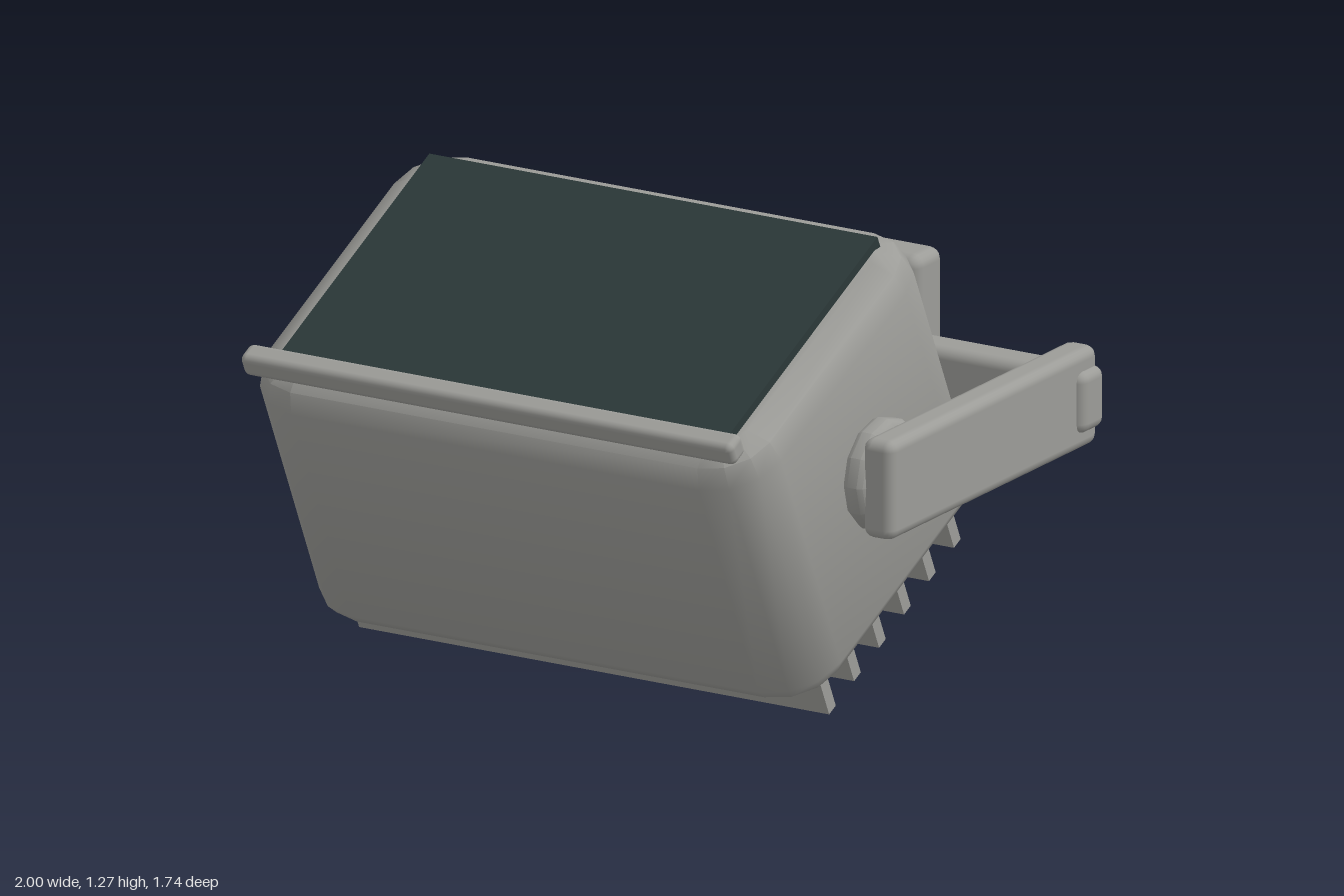
import * as THREE from 'three';
import { RoundedBoxGeometry } from 'three/addons/geometries/RoundedBoxGeometry.js';
import { toCreasedNormals } from 'three/addons/utils/BufferGeometryUtils.js';

const metal = new THREE.MeshStandardMaterial({ color: 0x9c9c98 });
metal.name = 'grey metal';
const glass = new THREE.MeshStandardMaterial({ color: 0x2b3838 });
glass.name = 'dark glass';

function add(parent, name, geometry, material, x = 0, y = 0, z = 0) {
  const mesh = new THREE.Mesh(geometry, material);
  mesh.name = name;
  mesh.position.set(x, y, z);
  parent.add(mesh);
  return mesh;
}

// Rounded rectangle in the xz plane, counterclockwise seen from above
function roundedRing(halfX, halfZ, r, y, segments = 3) {
  const points = [];
  const corners = [[1, -1], [-1, -1], [-1, 1], [1, 1]];
  corners.forEach(([sx, sz], c) => {
    for (let i = 0; i <= segments; i++) {
      const a = (c + i / segments) * Math.PI / 2;
      points.push([sx * (halfX - r) + r * Math.cos(a), y, sz * (halfZ - r) - r * Math.sin(a)]);
    }
  });
  return points;
}

// Closed solid through rings stacked from bottom to top
function loft(rings) {
  const n = rings[0].length;
  const index = [];
  const last = (rings.length - 1) * n;
  for (let k = 0; k < rings.length - 1; k++) {
    for (let i = 0; i < n; i++) {
      const a = k * n + i, b = k * n + (i + 1) % n;
      index.push(a, b, b + n, a, b + n, a + n);
    }
  }
  for (let i = 1; i < n - 1; i++) {
    index.push(0, i + 1, i);
    index.push(last, last + i, last + i + 1);
  }
  const g = new THREE.BufferGeometry();
  g.setAttribute('position', new THREE.Float32BufferAttribute(rings.flat(2), 3));
  g.setIndex(index);
  return toCreasedNormals(g, 0.75);
}

export function createModel() {
  const model = new THREE.Group();
  model.name = 'floodlight';

  // Lamp head, tilted forward
  const head = new THREE.Group();
  head.name = 'lampHead';
  head.rotation.x = THREE.MathUtils.degToRad(25);
  model.add(head);

  // Housing: [height, inset] of each ring
  const profile = [[0.27, 0.05], [0.28, 0.02], [0.315, 0], [1.04, 0], [1.1, 0.022], [1.133, 0.085]];
  const rings = profile.map(([y, inset]) => roundedRing(0.82 - inset, 0.525 - inset, 0.17 - inset, y));
  add(head, 'housing', loft(rings), metal, 0, 0, -0.105);

  add(head, 'glassPanel', new THREE.BoxGeometry(1.43, 0.04, 0.87), glass, 0, 1.138, -0.104);
  add(head, 'frontRod', new RoundedBoxGeometry(1.57, 0.07, 0.07, 2, 0.02), metal, 0, 1.171, 0.371);

  // Cooling fins underneath
  for (let i = 0; i < 6; i++) {
    add(head, 'coolingFin', new THREE.BoxGeometry(1.5, 0.17, 0.038), metal, 0, 0.22, 0.257 - i * 0.1424);
  }

  // Bracket: pivot discs and arms on both sides
  const disc = [[0, -0.045], [0.125, -0.045], [0.15, -0.03], [0.158, -0.015],
    [0.158, 0.015], [0.15, 0.03], [0.125, 0.045], [0, 0.045]].map(([r, y]) => new THREE.Vector2(r, y));
  const discGeometry = toCreasedNormals(new THREE.LatheGeometry(disc, 12), 0.6);
  const armGeometry = new RoundedBoxGeometry(0.1, 0.282, 1.07, 2, 0.03);
  for (const side of [1, -1]) {
    add(model, 'pivotDisc', discGeometry, metal, side * 0.858, 0.683, 0.208).rotation.z = -side * Math.PI / 2;
    add(model, 'bracketArm', armGeometry, metal, side * 0.928, 0.683, -0.183);
  }
  add(model, 'crossbar', new RoundedBoxGeometry(2, 0.176, 0.12, 2, 0.03), metal, 0, 0.681, -0.66);

  // Wall plate behind the crossbar
  add(model, 'wallPlate', new RoundedBoxGeometry(0.79, 0.574, 0.144, 2, 0.035), metal, 0, 0.681, -0.794);

  return model;
}
